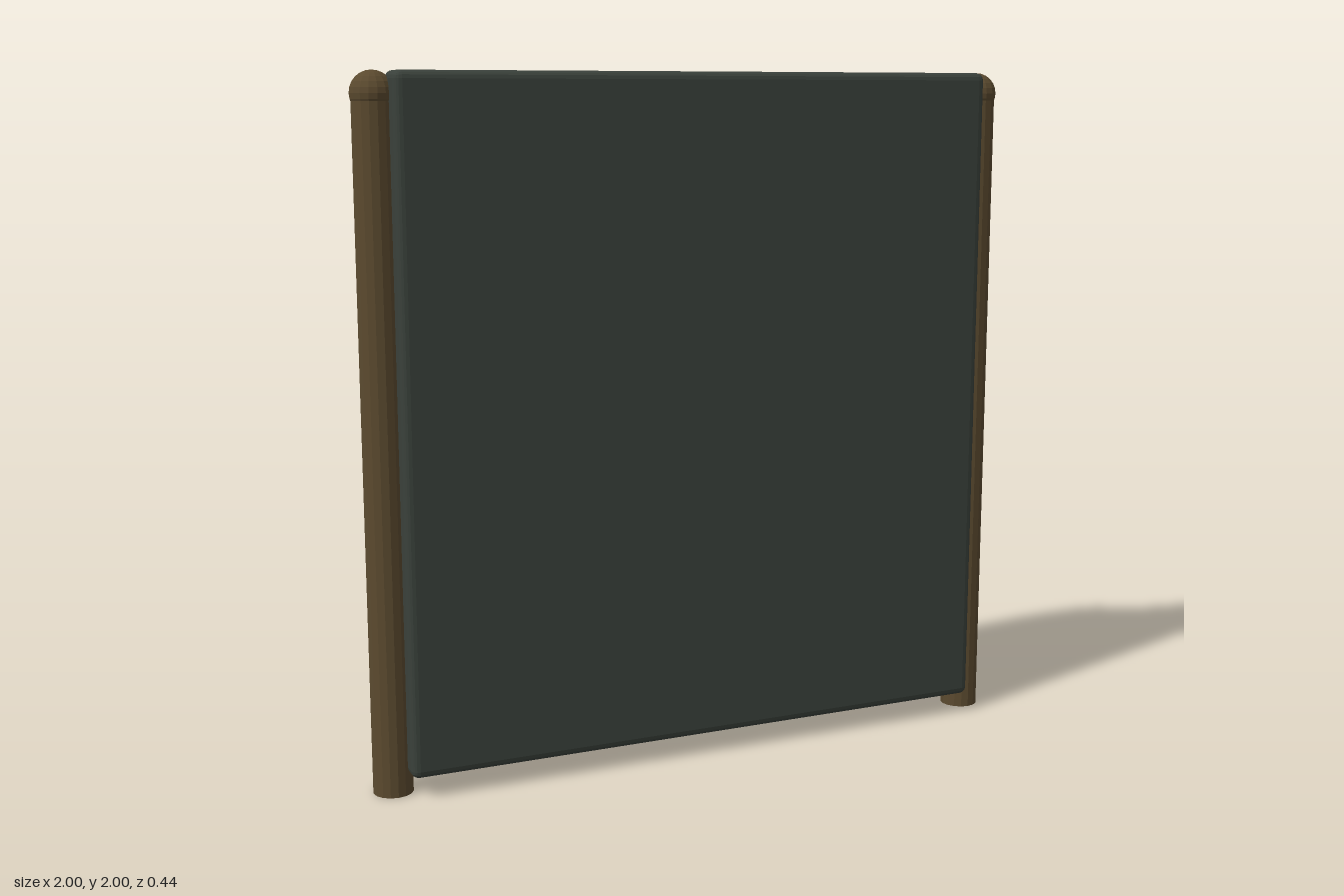
import * as THREE from 'three';
import { RoundedBoxGeometry } from 'three/addons/geometries/RoundedBoxGeometry.js';

const material = (name, color) => {
  const m = new THREE.MeshStandardMaterial({ color, flatShading: true });
  m.name = name;
  return m;
};

export function createModel() {
  const slate = material('dark slate', 0x3a413b);
  const bronze = material('aged bronze', 0x5b4a2f);
  const cream = material('dial grey', 0x7b765e);
  const red = material('red lamp', 0xcc3128);
  const green = material('green lamp', 0x42c463);

  const root = new THREE.Group();
  root.name = 'gaugePanel';

  const add = (parent, name, geometry, mat, x = 0, y = 0, z = 0) => {
    const mesh = new THREE.Mesh(geometry, mat);
    mesh.name = name;
    mesh.position.set(x, y, z);
    parent.add(mesh);
    return mesh;
  };

  // Straight pipe between two points
  const pipe = (parent, name, a, b, r) => {
    const dir = b.clone().sub(a);
    const mesh = add(parent, name, new THREE.CylinderGeometry(r, r, dir.length(), 16), bronze);
    mesh.position.copy(a).add(b).multiplyScalar(0.5);
    mesh.quaternion.setFromUnitVectors(new THREE.Vector3(0, 1, 0), dir.normalize());
  };

  // Turned solid whose profile axis points to the back (-z)
  const turned = (points, sides = 32) =>
    new THREE.LatheGeometry(points.map(([r, h]) => new THREE.Vector2(r, h)), sides).rotateX(-Math.PI / 2);

  // Ring with an octagonal section
  const ring = (radius, tube, sides) => {
    const points = [];
    for (let i = 0; i <= 8; i++) {
      const a = (i + 0.5) * Math.PI / 4;
      points.push([radius + tube * 1.08 * Math.cos(a), tube * 1.08 * Math.sin(a)]);
    }
    return turned(points, sides);
  };

  // Backing board
  add(root, 'panel', new RoundedBoxGeometry(1.81, 1.94, 0.116, 2, 0.022), slate, 0, 1.03, 0.16);

  const buildGauge = (side, needleAngle) => {
    const gauge = new THREE.Group();
    gauge.name = side > 0 ? 'leftGauge' : 'rightGauge';
    gauge.position.set(side * 0.514, 1.288, 0);
    gauge.scale.set(0.98, 1, 1);
    root.add(gauge);

    // Case, bezel and dial
    add(gauge, 'case', turned([[0, -0.082], [0.365, -0.082], [0.388, -0.065], [0.4, -0.03],
      [0.4, 0.03], [0.392, 0.06], [0.375, 0.1]]), bronze);
    add(gauge, 'bezel', ring(0.379, 0.038, 32), bronze, 0, 0, -0.111);
    add(gauge, 'dial', new THREE.CircleGeometry(0.37, 32).rotateY(Math.PI), cream, 0, 0, -0.13);

    // Scale marks; a positive angle leans toward +x
    for (let i = 0; i < 10; i++) {
      const a = THREE.MathUtils.degToRad(-70 + i * 140 / 9);
      const tick = add(gauge, 'tick', new THREE.BoxGeometry(0.018, 0.05, 0.009), slate,
        Math.sin(a) * 0.295, Math.cos(a) * 0.295, -0.134);
      tick.rotation.z = -a;
    }

    // Needle and hub
    const a = THREE.MathUtils.degToRad(needleAngle);
    const needle = add(gauge, 'needle', new THREE.BoxGeometry(0.03, 0.28, 0.022), slate,
      Math.sin(a) * 0.14, Math.cos(a) * 0.14, -0.144);
    needle.rotation.z = -a;
    add(gauge, 'hub', new THREE.CylinderGeometry(0.038, 0.038, 0.034, 12).rotateX(Math.PI / 2),
      bronze, 0, 0, -0.144);
  };

  for (const side of [1, -1]) {
    const label = side > 0 ? 'left' : 'right';
    const foot = new THREE.Vector3(side * 0.936, 0, 0.116);
    const top = new THREE.Vector3(side * 0.938, 1.94, 0.114);
    const elbow = new THREE.Vector3(side * 0.505, 1.94, 0.048);
    const drop = new THREE.Vector3(side * 0.514, 1.65, -0.005);

    // Post, joints and bent pipe carrying the gauge
    pipe(root, label + 'Post', foot, top, 0.057);
    pipe(root, label + 'TopPipe', top, elbow, 0.047);
    pipe(root, label + 'DropPipe', elbow, drop, 0.05);
    for (const p of [top, elbow])
      add(root, label + 'PipeJoint', new THREE.SphereGeometry(0.061, 16, 12), bronze, p.x, p.y, p.z);

    buildGauge(side, side > 0 ? -35 : 51);

    // Indicator lamp in its ring
    add(root, label + 'LampRing', ring(0.15, 0.028, 24), bronze, side * 0.465, 0.383, -0.062);
    add(root, label + 'Lamp', new THREE.SphereGeometry(0.122, 16, 12), side > 0 ? green : red,
      side * 0.465, 0.383, -0.1);
  }
  return root;
}
